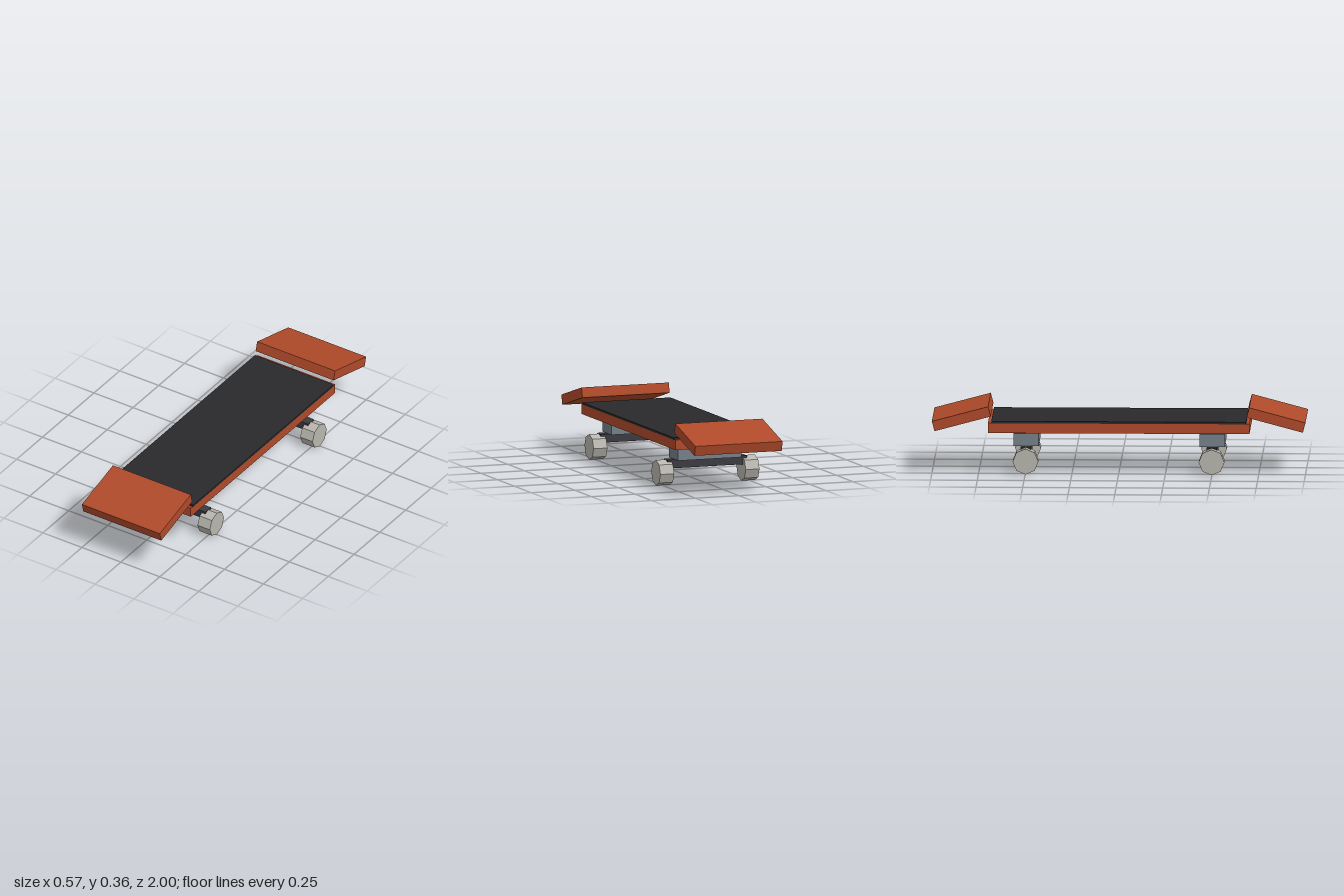
import * as THREE from 'three';

const paint = (color) => new THREE.MeshStandardMaterial({ color, flatShading: true });

export function createModel() {
  const wood = paint(0xb04a2a);
  const gripBlack = paint(0x29292c);
  const steel = paint(0x76818a);
  const darkMetal = paint(0x3a3a40);
  const urethane = paint(0xb8b6ae);

  const board = new THREE.Group();
  board.name = 'skateboard';

  const add = (parent, name, geometry, material, x, y, z) => {
    const mesh = new THREE.Mesh(geometry, material);
    mesh.name = name;
    mesh.position.set(x, y, z);
    parent.add(mesh);
    return mesh;
  };

  // Flat deck with a thin grip sheet, slightly wider than the wood
  add(board, 'deck', new THREE.BoxGeometry(0.5, 0.055, 1.4), wood, 0, 0.2455, 0);
  add(board, 'gripSheet', new THREE.BoxGeometry(0.505, 0.011, 1.364), gripBlack, 0, 0.277, 0);

  // Nose and tail slabs, sloping down towards the ends
  const kickGeometry = new THREE.BoxGeometry(0.5, 0.055, 0.312);
  // Octagonal wheel turned to lie along x
  const wheelGeometry = new THREE.CylinderGeometry(0.069, 0.069, 0.079, 8).rotateZ(Math.PI / 2);

  for (const end of [1, -1]) {
    const place = end > 0 ? 'front' : 'rear';

    const kick = add(board, end > 0 ? 'nose' : 'tail', kickGeometry, wood, 0, 0.294, end * 0.8425);
    kick.rotation.x = end * Math.PI / 12;

    // Truck: base block, axle bar and two wheels
    const truck = new THREE.Group();
    truck.name = place + 'Truck';
    truck.position.z = end * 0.498;
    board.add(truck);
    add(truck, 'truckBase', new THREE.BoxGeometry(0.364, 0.068, 0.136), steel, 0, 0.172, 0);
    add(truck, 'axleBar', new THREE.BoxGeometry(0.456, 0.046, 0.055), darkMetal, 0, 0.1155, 0);
    for (const side of [1, -1]) {
      add(truck, side > 0 ? 'leftWheel' : 'rightWheel', wheelGeometry, urethane, side * 0.2445, 0.069, 0);
    }
  }
  return board;
}
